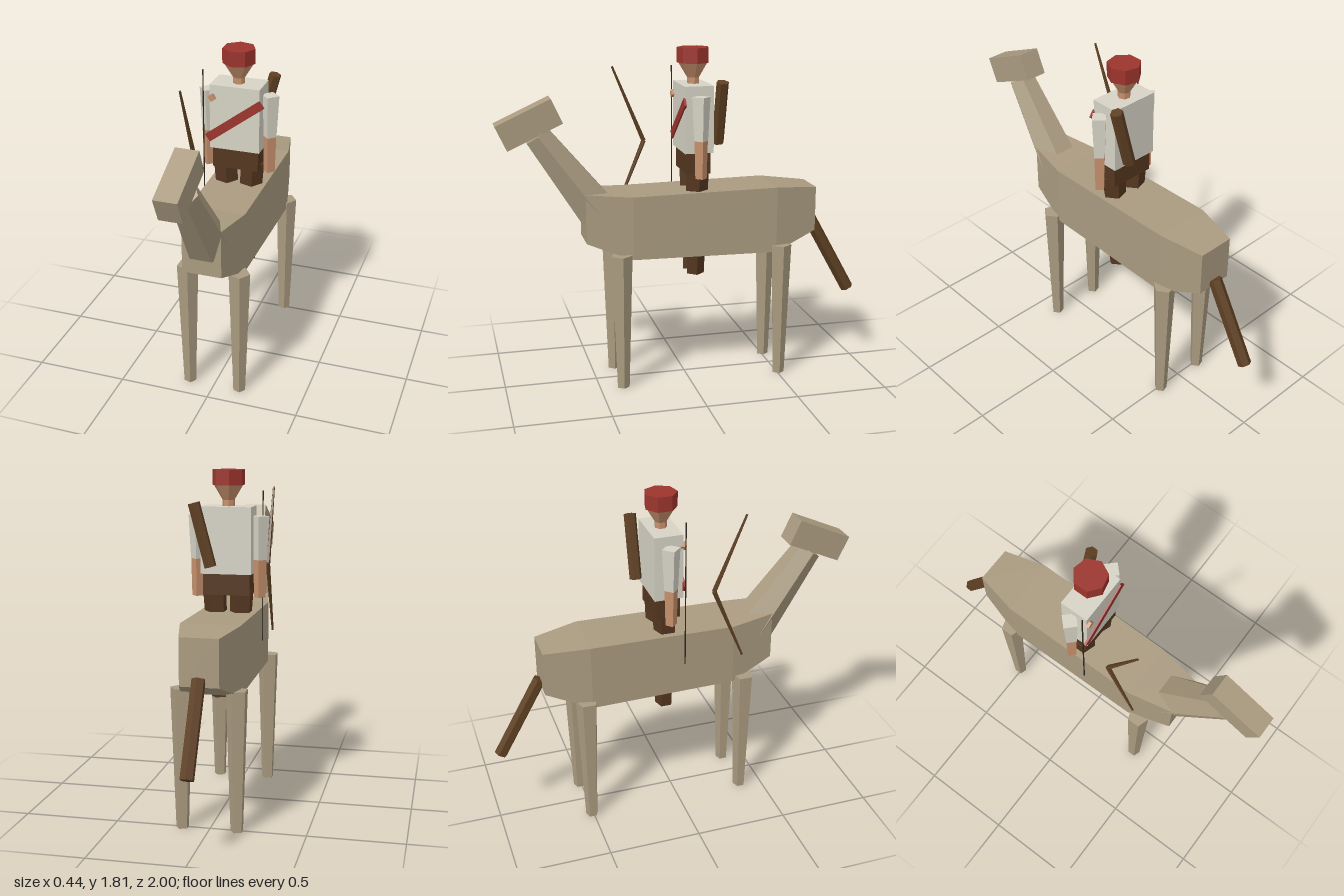
import * as THREE from 'three';

const mat = (name, color) => {
  const m = new THREE.MeshStandardMaterial({ color, flatShading: true });
  m.name = name;
  return m;
};

export function createModel() {
  const hide = mat('hide', 0xaa9b80);
  const bark = mat('darkWood', 0x5f4023);
  const cloth = mat('trousers', 0x553720);
  const linen = mat('linen', 0xd6d3c5);
  const skin = mat('skin', 0xc6906c);
  const red = mat('red', 0x9c342d);
  const cord = mat('cord', 0x2e2721);

  const root = new THREE.Group();
  root.name = 'riderOnAnimal';
  const animal = new THREE.Group();
  animal.name = 'animal';
  const rider = new THREE.Group();
  rider.name = 'rider';
  root.add(animal, rider);

  const add = (parent, name, geometry, material) => {
    const mesh = new THREE.Mesh(geometry, material);
    mesh.name = name;
    parent.add(mesh);
    return mesh;
  };

  const box = (parent, name, material, size, pos, rot = [0, 0, 0]) => {
    const mesh = add(parent, name, new THREE.BoxGeometry(...size), material);
    mesh.position.set(...pos);
    mesh.rotation.set(...rot);
    return mesh;
  };

  // Tapered prism running from point a (radius ra) up to point b (radius rb)
  const limb = (parent, name, material, sides, a, b, ra, rb, spin = 0) => {
    const start = new THREE.Vector3(...a);
    const end = new THREE.Vector3(...b);
    const dir = end.clone().sub(start);
    const geometry = new THREE.CylinderGeometry(rb, ra, dir.length(), sides);
    geometry.rotateY(spin);
    const mesh = add(parent, name, geometry, material);
    mesh.position.copy(start).add(end).multiplyScalar(0.5);
    mesh.quaternion.setFromUnitVectors(new THREE.Vector3(0, 1, 0), dir.normalize());
    return mesh;
  };

  // Barrel of the animal: rectangular sections [z, half width, bottom, top]
  const sections = [
    [0.55, 0.105, 0.805, 1.07],
    [0.31, 0.152, 0.715, 1.055],
    [-0.48, 0.156, 0.705, 1.065],
    [-0.72, 0.1, 0.8, 1.043],
  ];
  const rings = sections.map(([z, w, lo, hi]) => [[-w, lo, z], [w, lo, z], [w, hi, z], [-w, hi, z]]);
  const points = [];
  const quad = (a, b, c, d) => points.push(...a, ...b, ...c, ...a, ...c, ...d);
  for (let i = 0; i < rings.length - 1; i++) {
    for (let k = 0; k < 4; k++) {
      const n = (k + 1) % 4;
      quad(rings[i][k], rings[i + 1][k], rings[i + 1][n], rings[i][n]);
    }
  }
  quad(...rings[0]);
  quad(...[...rings[3]].reverse());
  const barrel = new THREE.BufferGeometry();
  barrel.setAttribute('position', new THREE.Float32BufferAttribute(points, 3));
  barrel.computeVertexNormals();
  add(animal, 'body', barrel, hide);

  // Neck, head, tail
  limb(animal, 'neck', hide, 6, [0, 0.955, 0.475], [0, 1.38, 0.784], 0.12, 0.077, Math.PI / 2);
  box(animal, 'head', hide, [0.12, 0.143, 0.318], [0, 1.441, 0.826], [0.43, 0, 0]);
  limb(animal, 'tail', bark, 6, [0, 0.415, -0.966], [0, 0.842, -0.726], 0.036, 0.036);

  // Four legs
  for (const x of [-0.143, 0.143]) {
    limb(animal, 'frontLeg', hide, 5, [x, 0, 0.375], [x, 0.743, 0.375], 0.034, 0.059, Math.PI / 2);
    limb(animal, 'backLeg', hide, 5, [x, 0, -0.508], [x, 0.743, -0.508], 0.034, 0.059, Math.PI / 2);
  }

  // Rider's trunk
  const Z = -0.05;
  box(rider, 'torso', linen, [0.27, 0.353, 0.155], [0, 1.444, Z]);
  box(rider, 'hips', cloth, [0.25, 0.115, 0.128], [0, 1.212, Z]);
  box(rider, 'sash', red, [0.367, 0.046, 0.012], [0, 1.433, 0.03], [0, 0, 0.645]);

  // Head and cap
  limb(rider, 'throat', skin, 7, [0, 1.6, Z], [0, 1.67, Z], 0.033, 0.033, Math.PI / 2);
  limb(rider, 'face', skin, 7, [0, 1.645, Z], [0, 1.733, Z], 0.028, 0.081, Math.PI / 2);
  limb(rider, 'cap', red, 7, [0, 1.73, Z], [0, 1.81, Z], 0.087, 0.087, Math.PI / 2);

  // Arms and legs on both sides
  for (const s of [-1, 1]) {
    const x = s * 0.169;
    limb(rider, 'sleeve', linen, 4, [x, 1.34, Z], [x, 1.57, Z], 0.037, 0.049);
    limb(rider, 'forearm', skin, 4, [x, 1.14, Z], [x, 1.34, Z], 0.031, 0.036);
    limb(rider, 'leg', cloth, 5, [s * 0.045, 0.59, Z], [s * 0.075, 1.18, Z], 0.049, 0.066, Math.PI / 2);
  }
  box(rider, 'hand', skin, [0.032, 0.032, 0.03], [-0.12, 1.553, 0.028], [0, 0, 0.6]);

  // Quiver across the back
  limb(rider, 'quiver', bark, 6, [0.072, 1.31, -0.166], [0.16, 1.642, -0.166], 0.033, 0.033);

  // Bow: two mirrored limbs and a string
  const bowX = -0.17;
  for (const s of [-1, 1]) {
    limb(rider, 'bowLimb', bark, 5, [bowX, 1.294, 0.185], [bowX, 1.294 + s * 0.406, 0.353], 0.013, 0.006);
  }
  box(rider, 'bowString', cord, [0.005, 0.81, 0.005], [bowX, 1.294, 0.028]);

  return root;
}
